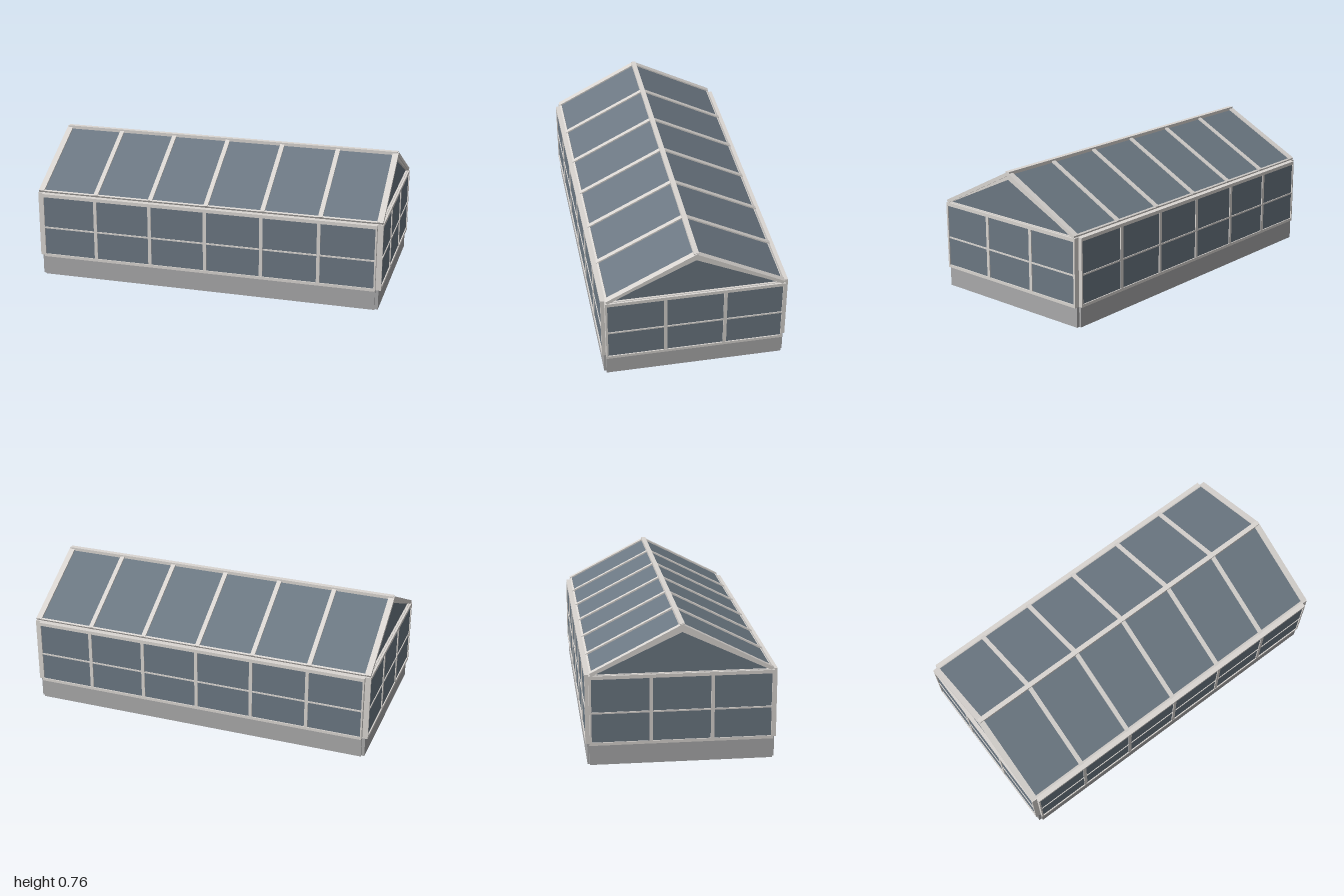
import * as THREE from 'three';

const paint = (name, color) => {
  const m = new THREE.MeshStandardMaterial({ color });
  m.name = name;
  return m;
};

export function createModel() {
  const frame = paint('pale frame', 0xdad6d2);
  const stone = paint('grey base', 0xaaaaab);
  const glass = paint('blue grey glass', 0x6c7883);
  const inner = paint('warm inner glass', 0xd0c4a8);

  // Box given by its limits on each axis
  function box(parent, name, mat, x0, x1, y0, y1, z0, z1) {
    const mesh = new THREE.Mesh(new THREE.BoxGeometry(x1 - x0, y1 - y0, z1 - z0), mat);
    mesh.position.set((x0 + x1) / 2, (y0 + y1) / 2, (z0 + z1) / 2);
    mesh.name = name;
    parent.add(mesh);
    return mesh;
  }

  // Wall facing +z: base, glazing, rails, posts and mullions
  function wall(name, half, bays, bayWidth, post, baseOut, frameOut) {
    const g = new THREE.Group();
    g.name = name;
    box(g, 'baseWall', stone, -half, half, 0, 0.113, baseOut - 0.03, baseOut);
    const back = frameOut - 0.032;
    box(g, 'glazing', [frame, frame, frame, frame, glass, inner],
      -half + 0.005, half - 0.005, 0.118, 0.488, frameOut - 0.02, frameOut - 0.006);
    box(g, 'bottomRail', frame, -half, half, 0.112, 0.128, back, frameOut);
    box(g, 'middleRail', frame, -half + post, half - post, 0.285, 0.294, back + 0.004, frameOut - 0.002);
    box(g, 'topRail', frame, -half, half, 0.474, 0.493, back, frameOut);
    for (const s of [-1, 1]) {
      const x = s * (half - post / 2);
      box(g, 'cornerPost', frame, x - post / 2, x + post / 2, 0.112, 0.493, back, frameOut);
    }
    for (let i = 1; i < bays; i++) {
      const x = (i - bays / 2) * bayWidth;
      box(g, 'mullion', frame, x - 0.0095, x + 0.0095, 0.12, 0.48, back, frameOut - 0.001);
    }
    return g;
  }

  function triangle(Kind, half, y0, apex) {
    const t = new Kind();
    t.moveTo(-half, y0);
    t.lineTo(half, y0);
    t.lineTo(0, apex);
    t.closePath();
    return t;
  }

  function slab(parent, name, mat, shape, depth, z) {
    const mesh = new THREE.Mesh(new THREE.ExtrudeGeometry(shape, { depth, bevelEnabled: false }), mat);
    mesh.position.z = z;
    mesh.name = name;
    parent.add(mesh);
  }

  const house = new THREE.Group();
  house.name = 'greenhouse';

  const ridgeY = 0.755, run = 0.482, drop = 0.249;
  const slopeLength = Math.hypot(run, drop);

  for (const side of [0, 1]) {
    // Long walls
    const long = wall(side ? 'backWall' : 'frontWall', 0.963, 6, 0.3225, 0.009, 0.4955, 0.505);
    long.rotation.y = side * Math.PI;
    house.add(long);

    // End walls with gables
    const end = wall(side ? 'rightEnd' : 'leftEnd', 0.484, 3, 0.323, 0.011, 0.98, 0.9935);
    end.rotation.y = Math.PI / 2 + side * Math.PI;
    const surround = triangle(THREE.Shape, 0.478, 0.493, 0.739);
    surround.holes.push(triangle(THREE.Path, 0.456, 0.496, 0.712));
    slab(end, 'gableFrame', frame, surround, 0.028, 0.955);
    const pane = triangle(THREE.Shape, 0.46, 0.495, 0.716);
    slab(end, 'gableGlass', glass, pane, 0.006, 0.966);
    slab(end, 'gableInnerPanel', frame, pane, 0.004, 0.961);
    house.add(end);

    // Roof slope, hinged at the ridge
    const turn = new THREE.Group();
    turn.name = side ? 'backRoof' : 'frontRoof';
    turn.rotation.y = side * Math.PI;
    const slope = new THREE.Group();
    slope.name = 'roofSlope';
    slope.position.y = ridgeY;
    slope.rotation.x = Math.atan2(drop, run);
    box(slope, 'roofGlass', [frame, frame, frame, glass, glass, frame].map((m, i) => (i === 2 ? glass : i === 3 ? inner : m)),
      -0.975, 0.975, -0.016, -0.008, 0, slopeLength - 0.004);
    for (let i = 0; i <= 6; i++) {
      const atEnd = i === 0 || i === 6;
      const x = atEnd ? Math.sign(i - 3) * 0.974 : (i - 3) * 0.3235;
      const w = atEnd ? 0.0165 : 0.0125;
      box(slope, atEnd ? 'endRafter' : 'rafter', frame, x - w, x + w, atEnd ? -0.019 : -0.025, 0, 0, slopeLength);
    }
    box(slope, 'eaveBar', frame, -0.985, 0.985, -0.019, -0.004, slopeLength - 0.012, slopeLength - 0.001);
    turn.add(slope);
    house.add(turn);
  }

  // Ridge beam
  box(house, 'ridgeBeam', frame, -0.985, 0.985, 0.733, 0.757, -0.0135, 0.0135);

  // The whole building stands slightly askew
  house.rotation.y = -0.0128;
  const model = new THREE.Group();
  model.name = 'model';
  model.add(house);
  return model;
}
